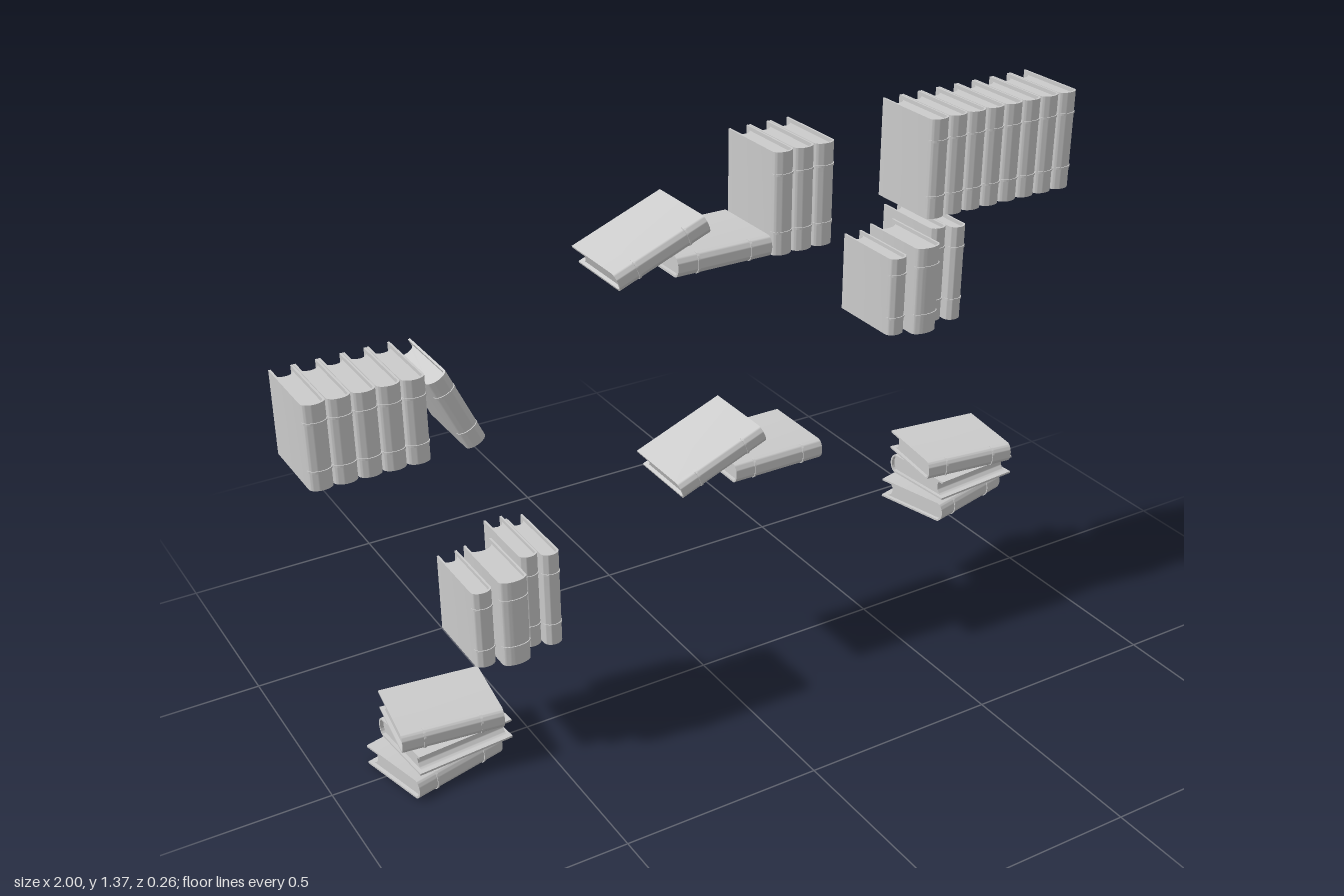
import * as THREE from 'three';
import { toCreasedNormals } from 'three/addons/utils/BufferGeometryUtils.js';

const material = new THREE.MeshStandardMaterial({ color: 0xcccccc });
const BULGE = 0.018; // how far the rounded spine stands out
const BOARD = 0.005; // cover thickness

// Extrudes a plan outline upward, centred on the origin; outline -y becomes +z (the spine side)
function extrudeUp(shape, height) {
  const geo = new THREE.ExtrudeGeometry(shape, { depth: height, bevelEnabled: false, curveSegments: 12 });
  geo.translate(0, 0, -height / 2);
  geo.rotateX(-Math.PI / 2);
  return toCreasedNormals(geo, 0.6);
}

// C-shaped strip: two arms ending at y = end, joined by a rounded spine
function wrapShape(t, d, thick, end) {
  const y = -d / 2 + BULGE;
  const s = new THREE.Shape();
  s.moveTo(t / 2, end);
  s.lineTo(t / 2, y);
  s.absellipse(0, y, t / 2, BULGE, 0, -Math.PI, true);
  s.lineTo(-t / 2, end);
  s.lineTo(-t / 2 + thick, end);
  s.lineTo(-t / 2 + thick, y);
  s.absellipse(0, y, t / 2 - thick, BULGE - thick, Math.PI, 2 * Math.PI, false);
  s.lineTo(t / 2 - thick, end);
  s.closePath();
  return s;
}

// Page block with a hollow fore edge
function pageShape(t, d) {
  const w = t / 2 - BOARD + 0.0005, y = -d / 2 + BULGE, end = d / 2 - 0.008;
  const s = new THREE.Shape();
  s.moveTo(w, end);
  s.lineTo(w, y);
  s.absellipse(0, y, w, BULGE - BOARD, 0, -Math.PI, true);
  s.lineTo(-w, end);
  s.absellipse(0, end, w, 0.02, Math.PI, 2 * Math.PI, false);
  return s;
}

// Upright book, centred on its middle, spine toward +z
function makeBook(t = 0.053, h = 0.245, d = 0.2) {
  const book = new THREE.Group();
  book.name = 'book';
  const add = (name, geo, y = 0) => {
    const mesh = new THREE.Mesh(geo, material);
    mesh.name = name;
    mesh.position.y = y;
    book.add(mesh);
  };
  add('cover', extrudeUp(wrapShape(t, d, BOARD, d / 2), h));
  add('pages', extrudeUp(pageShape(t, d), h - 0.018));
  // raised bands across the spine
  const band = extrudeUp(wrapShape(t + 0.001, d + 0.005, 0.004, -d / 2 + BULGE + 0.001), 0.005);
  for (const f of [-0.28, 0.28]) add('spineBand', band, f * h);
  return book;
}

export function createModel() {
  const model = new THREE.Group();
  model.name = 'bookCollection';

  const group = (name, x = 0, y = 0) => {
    const g = new THREE.Group();
    g.name = name;
    g.position.set(x, y, 0);
    model.add(g);
    return g;
  };
  const place = (parent, book, x, y, z = 0, tilt = 0) => {
    book.position.set(x, y, z);
    book.rotation.z = THREE.MathUtils.degToRad(tilt);
    parent.add(book);
  };

  // Upper rows of equal upright books
  const longRow = group('longRow');
  for (let i = 0; i < 8; i++) place(longRow, makeBook(), 0.588 + i * 0.055, 1.2525);
  const shortRow = group('shortRow');
  for (let i = 0; i < 3; i++) place(shortRow, makeBook(), 0.154 + i * 0.055, 1.2525);

  // Row of smaller books with one leaning on its end
  const smallRow = group('smallRow');
  for (let i = 0; i < 5; i++) place(smallRow, makeBook(0.053, 0.198), -0.9735 + i * 0.0545, 0.949);
  place(smallRow, makeBook(0.05, 0.192), -0.664, 0.947, 0, 25);

  // Pairs: one book lying flat, another leaning on it
  for (const [x, y] of [[0, 1.13], [0.156, 0.567]]) {
    const pair = group('leaningPair', x, y);
    place(pair, makeBook(0.05), -0.002, 0.025, 0, 90);
    place(pair, makeBook(0.048), -0.16, 0.067, 0, 90 + 21.5);
  }

  // Mixed sets: [x, thickness, height, z]
  const mixed = [
    [0.026, 0.05, 0.198, 0],
    [0.092, 0.07, 0.222, 0.028],
    [0.154, 0.046, 0.243, -0.018],
    [0.2, 0.045, 0.243, 0],
  ];
  for (const [x, y] of [[0.462, 0.85], [-0.66, 0.287]]) {
    const set = group('mixedSet', x, y);
    for (const [bx, t, h, z] of mixed) place(set, makeBook(t, h), bx, h / 2, z);
  }

  // Stacks of three lying books, each turned differently: [x, z, turn in degrees]
  const layers = [[-0.74, 0, 14], [-0.708, -0.005, 185], [-0.717, 0, -7]];
  for (const [x, y] of [[0, 0], [1.476, 0.287]]) {
    const stack = group('stack', x, y);
    layers.forEach(([bx, z, turn], i) => {
      const layer = new THREE.Group();
      layer.name = 'stackLayer';
      layer.position.set(bx, 0.027 + i * 0.0535, z);
      layer.rotation.y = THREE.MathUtils.degToRad(turn);
      place(layer, makeBook(0.052), 0, 0, 0, 90);
      stack.add(layer);
    });
  }
  return model;
}
